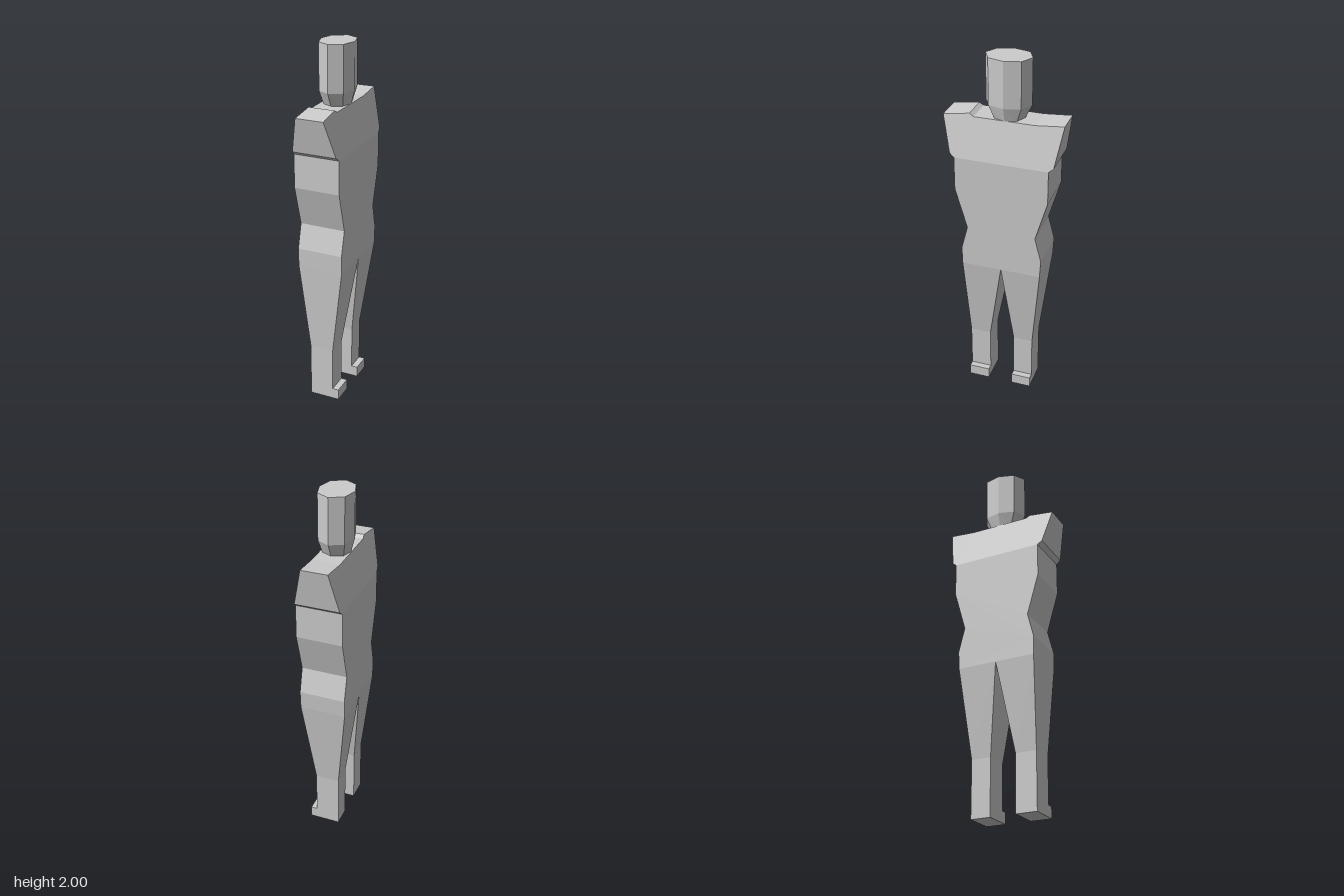
import * as THREE from 'three';

const grey = new THREE.MeshStandardMaterial({ color: 0xcccccc });
grey.name = 'plain grey';

// Slab with a (z, y) outline; its x limits run linearly from [y, minX, maxX] at the low end to the high end
function slab(name, outline, low, high) {
  const shape = new THREE.Shape(outline.map(([z, y]) => new THREE.Vector2(z, y)));
  const geo = new THREE.ExtrudeGeometry(shape, { depth: 1, bevelEnabled: false });
  geo.rotateY(-Math.PI / 2); // shape x becomes z, depth runs towards -x
  const p = geo.attributes.position;
  for (let i = 0; i < p.count; i++) {
    const t = (p.getY(i) - low[0]) / (high[0] - low[0]);
    const side = p.getX(i) < -0.5 ? 1 : 2;
    p.setX(i, THREE.MathUtils.lerp(low[side], high[side], t));
  }
  geo.computeVertexNormals();
  const mesh = new THREE.Mesh(geo, grey);
  mesh.name = name;
  return mesh;
}

// Faceted loft through rings listed from bottom to top, closed above
function loft(name, rings) {
  const v = [];
  const n = rings[0].length;
  for (let r = 0; r < rings.length - 1; r++) {
    const a = rings[r], b = rings[r + 1];
    for (let i = 0; i < n; i++) {
      const j = (i + 1) % n;
      v.push(...a[i], ...b[i], ...b[j], ...a[i], ...b[j], ...a[j]);
    }
  }
  const top = rings[rings.length - 1];
  for (let i = 1; i < n - 1; i++) v.push(...top[0], ...top[i + 1], ...top[i]);
  const geo = new THREE.BufferGeometry();
  geo.setAttribute('position', new THREE.Float32BufferAttribute(v, 3));
  geo.computeVertexNormals();
  const mesh = new THREE.Mesh(geo, grey);
  mesh.name = name;
  return mesh;
}

export function createModel() {
  const model = new THREE.Group();
  model.name = 'figure';
  const w = 0.127;

  // Torso with waist and hips
  model.add(slab('torso', [
    [-0.225, 0.81], [0.218, 0.81], [0.22, 0.91], [0.185, 1.045], [0.25, 1.27],
    [0.25, 1.455], [-0.26, 1.455], [-0.26, 1.27], [-0.195, 1.045], [-0.23, 0.91],
  ], [0.81, -w, w], [1.455, -w, w]));

  // Shoulders, leaning inwards to the top
  model.add(slab('shoulders', [
    [-0.26, 1.455], [0.25, 1.455], [0.275, 1.475], [0.322, 1.67], [0.18, 1.69],
    [0.157, 1.676], [-0.17, 1.676], [-0.322, 1.69], [-0.285, 1.475],
  ], [1.455, -w, w], [1.685, -0.076, 0.071]));

  // Legs: [hip outer, hip inner, ankle inner, ankle outer] in z
  const legs = [['left', 0.218, -0.004, 0.083, 0.2], ['right', -0.225, -0.004, -0.06, -0.17]];
  for (const [side, hipOut, hipIn, inner, outer] of legs) {
    const leg = new THREE.Group();
    leg.name = side + 'Leg';
    leg.add(slab('thigh', [[hipOut, 0.81], [hipIn, 0.81], [inner, 0.31], [outer, 0.31]],
      [0.31, -0.07, 0.065], [0.81, -w, w]));
    leg.add(slab('shin', [[inner, 0], [outer, 0], [outer, 0.31], [inner, 0.31]],
      [0, -0.07, 0.065], [0.31, -0.07, 0.065]));
    leg.add(slab('foot', [[inner, 0], [outer, 0], [outer, 0.062], [inner, 0.062]],
      [0, 0.065, 0.1], [0.062, 0.065, 0.1]));
    model.add(leg);
  }

  // Eight-sided head narrowing into the neck
  const plan = [[0, -0.132], [0.07, -0.095], [0.094, -0.009], [0.07, 0.078],
    [0, 0.115], [-0.067, 0.078], [-0.094, -0.009], [-0.073, -0.095]];
  const ring = (y, sx, sz) => plan.map(([x, z]) => [x * sx, y, -0.009 + (z + 0.009) * sz]);
  model.add(loft('head', [ring(1.67, 0.78, 0.68), ring(1.75, 1, 1), ring(2, 1, 1)]));

  return model;
}
